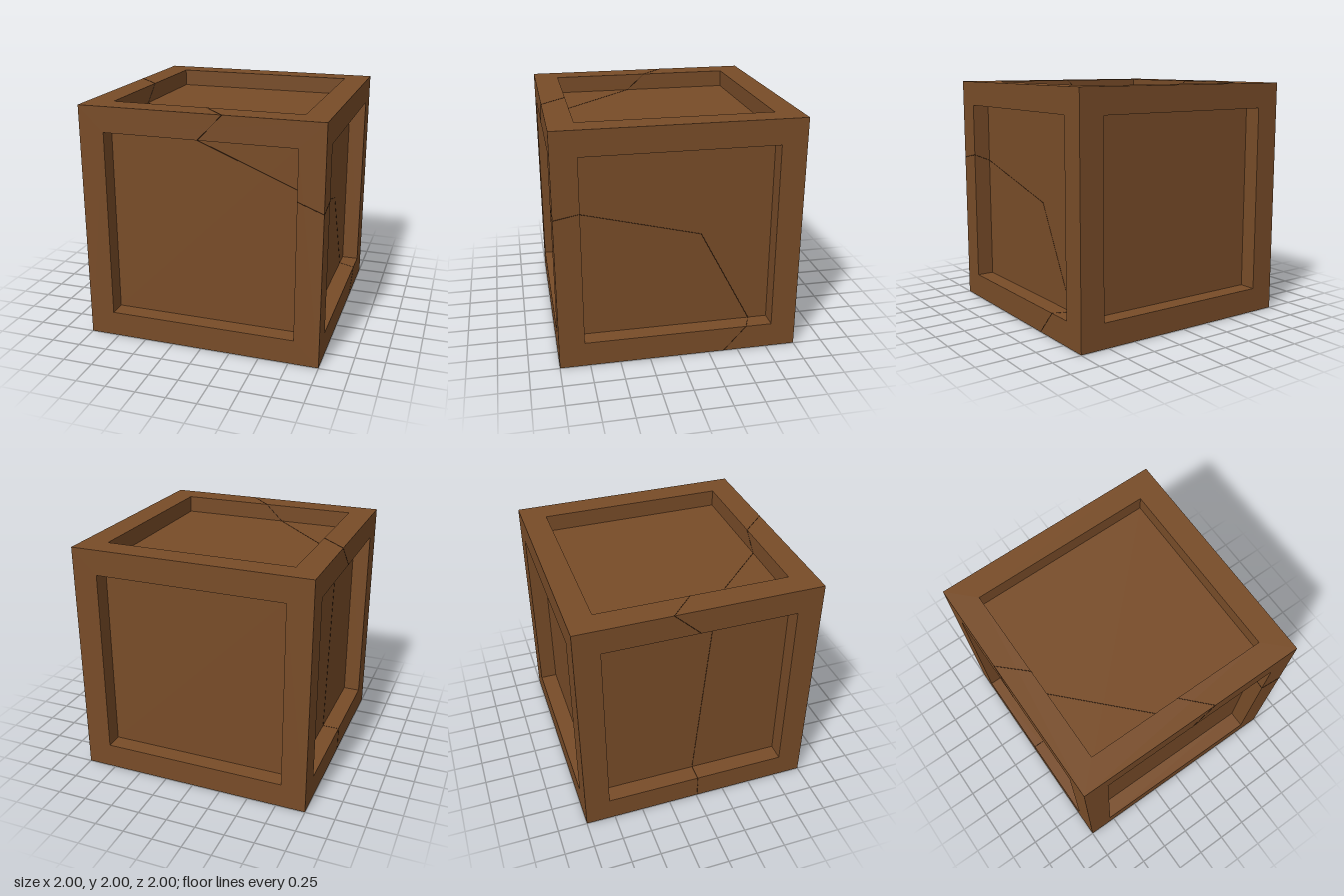
import * as THREE from 'three';
import { mergeGeometries } from 'three/addons/utils/BufferGeometryUtils.js';

const HALF = 1, INNER = 0.79, DEPTH = 0.145, LOW = HALF - DEPTH;
const wood = new THREE.MeshStandardMaterial({ color: 0x784c28 });
const dark = new THREE.MeshStandardMaterial({ color: 0x3c2411 });

// Square outline of half-size h
function square(Type, h) {
  return new Type([[-h, -h], [h, -h], [h, h], [-h, h]].map(([x, y]) => new THREE.Vector2(x, y)));
}

// Flat border with four walls stepping down to the panel
function frameGeometry() {
  const border = square(THREE.Shape, HALF);
  border.holes.push(square(THREE.Path, INNER));
  const parts = [new THREE.ShapeGeometry(border).translate(0, 0, HALF)];
  for (let i = 0; i < 4; i++) {
    parts.push(new THREE.PlaneGeometry(2 * INNER, DEPTH)
      .rotateX(-Math.PI / 2)
      .translate(0, -INNER, HALF - DEPTH / 2)
      .rotateZ(i * Math.PI / 2));
  }
  return mergeGeometries(parts);
}

// Hairline crack following a path over border, wall and panel
function crackGeometry(points) {
  const path = points.map(p => new THREE.Vector3(...p));
  const up = new THREE.Vector3(0, 1, 0);
  return mergeGeometries(path.slice(1).map((b, i) => {
    const a = path[i], dir = b.clone().sub(a);
    const turn = new THREE.Quaternion().setFromUnitVectors(up, dir.clone().normalize());
    const mid = a.clone().add(b).multiplyScalar(0.5);
    return new THREE.CylinderGeometry(0.002, 0.002, dir.length(), 4)
      .applyQuaternion(turn).translate(mid.x, mid.y, mid.z);
  }));
}

// Each side: name, rotation, crack path in the side's own axes (z outward)
const Q = Math.PI / 2;
const SIDES = [
  ['front', [0, 0, 0], [[0.2, 1, 1], [0, INNER, 1], [-0.15, INNER, LOW],
    [INNER, 0.41, LOW], [INNER, 0.38, 1], [1, 0.3, 1]]],
  ['back', [0, 2 * Q, 0], null],
  ['right', [0, Q, 0], [[-1, 0.3, 1], [-INNER, 0.34, 1], [-INNER, 0.28, LOW],
    [0.2, 0.03, LOW], [0.63, -INNER, LOW], [0.57, -INNER, 1], [0.38, -1, 1]]],
  ['left', [0, -Q, 0], [[-0.23, 1, 1], [-0.01, INNER, 1], [0.15, INNER, LOW],
    [0.01, -INNER, LOW], [0.01, -INNER, 1], [0.01, -1, 1]]],
  ['top', [-Q, 0, 0], [[-1, 0.23, 1], [-INNER, 0.03, 1], [-INNER, -0.13, LOW],
    [-0.15, -INNER, LOW], [0, -INNER, 1], [0.2, -1, 1]]],
  ['bottom', [Q, 0, 0], [[1, -0.38, 1], [INNER, -0.5, 1], [INNER, -0.57, LOW], [0.64, -0.46, LOW],
    [0.29, -0.15, LOW], [-0.35, -0.01, LOW], [-INNER, 0.01, LOW], [-INNER, 0.01, 1], [-1, 0.01, 1]]],
];

export function createModel() {
  const crate = new THREE.Group();
  crate.name = 'crate';
  const frame = frameGeometry();
  const panel = new THREE.PlaneGeometry(2 * INNER, 2 * INNER).translate(0, 0, LOW);

  for (const [name, rotation, crack] of SIDES) {
    const side = new THREE.Group();
    side.name = name + 'Side';
    side.rotation.set(...rotation);
    side.position.y = HALF;
    const add = (part, geometry, material) => {
      const mesh = new THREE.Mesh(geometry, material);
      mesh.name = name + part;
      side.add(mesh);
    };
    add('Frame', frame, wood);
    add('Panel', panel, wood);
    if (crack) add('Crack', crackGeometry(crack), dark);
    crate.add(side);
  }
  return crate;
}
